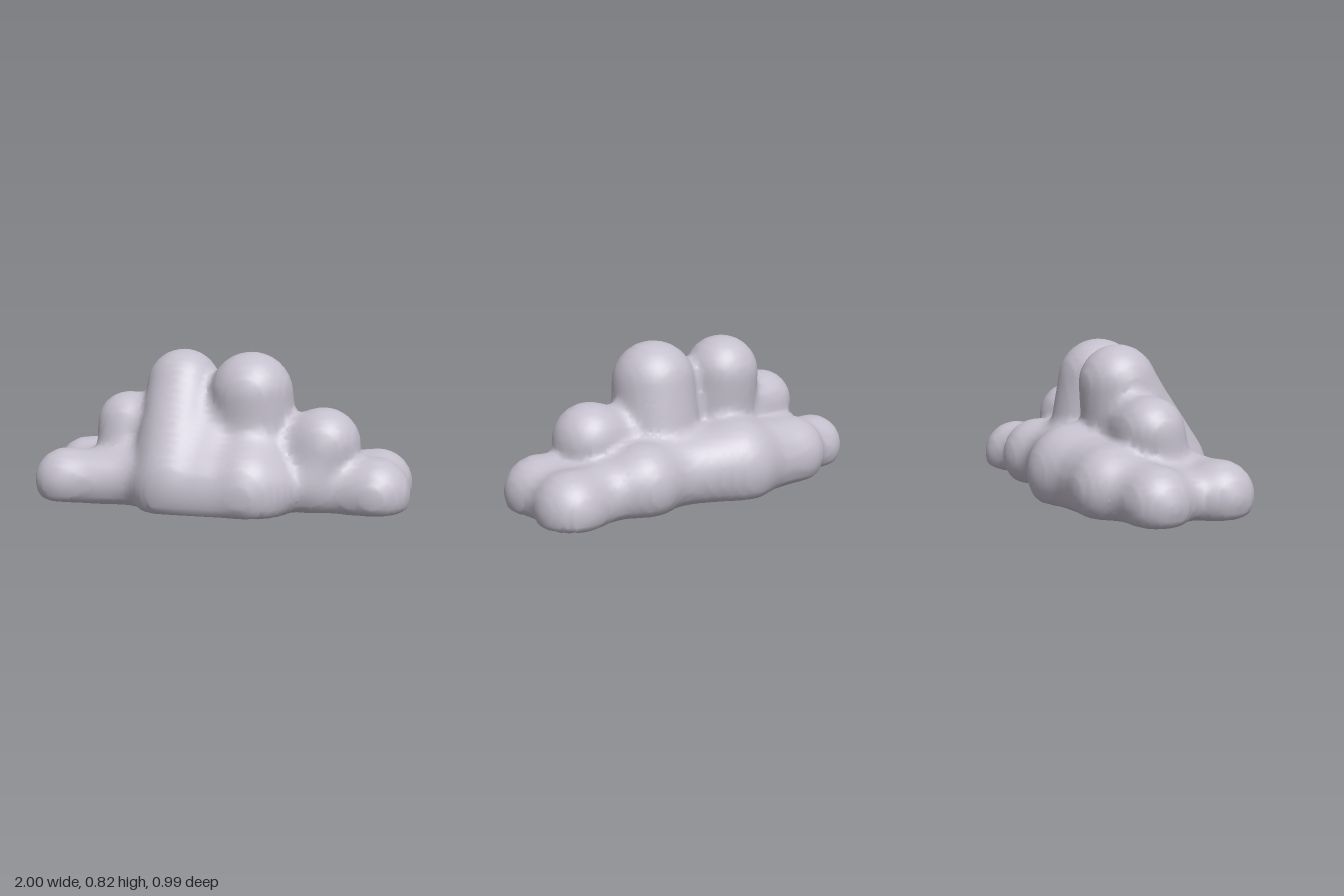
import * as THREE from 'three';

// Puffs of the cloud: tapered capsules [x, y, z, r] to [x, y, z, r]
const towers = [
  [[-0.235, 0.625, -0.04, 0.2], [-0.225, 0.2, 0.01, 0.215]],
  [[0.155, 0.603, 0.053, 0.222], [0.16, 0.34, 0.03, 0.242]],
];
// Broad front slope below the towers
const frontSlope = [
  [[-0.23, 0.5, 0.04, 0.2], [-0.2, 0.175, 0.27, 0.213]],
  [[0.165, 0.3, 0.1, 0.2], [0.17, 0.155, 0.273, 0.218]],
  [[-0.04, 0.46, 0.06, 0.14], [-0.03, 0.17, 0.26, 0.205]],
  [[-0.22, 0.1, 0.275, 0.2], [0.19, 0.1, 0.28, 0.2]],
  [[-0.31, 0.36, 0.1, 0.14], [-0.31, 0.14, 0.25, 0.148]],
  [[0.25, 0.25, 0.15, 0.15], [0.29, 0.14, 0.25, 0.155]],
];
const shoulders = [
  [[-0.545, 0.415, -0.02, 0.163], [-0.53, 0.17, 0.04, 0.19]],
  [[-0.54, 0.415, -0.02, 0.155], [-0.45, 0.42, -0.03, 0.155]],
  [[0.545, 0.35, 0.083, 0.188], [0.48, 0.15, 0.12, 0.19]],
  [[0.545, 0.35, 0.083, 0.175], [0.4, 0.33, 0.06, 0.16]],
];
const leftEnd = [
  [[-0.832, 0.13, 0.2, 0.17], [-0.62, 0.13, 0.17, 0.155]],
  [[-0.62, 0.13, 0.17, 0.155], [-0.45, 0.14, 0.17, 0.168]],
  [[-0.832, 0.13, -0.15, 0.17], [-0.6, 0.15, -0.18, 0.16]],
  [[-0.81, 0.13, 0.2, 0.12], [-0.81, 0.13, -0.15, 0.12]],
];
const rightEnd = [
  [[0.815, 0.115, 0.135, 0.186], [0.6, 0.12, 0.1, 0.165]],
  [[0.815, 0.105, -0.165, 0.184], [0.63, 0.12, -0.13, 0.16]],
  [[0.82, 0.115, 0.13, 0.148], [0.82, 0.115, -0.165, 0.148]],
];
const backPuffs = [
  [[-0.55, 0.16, -0.25, 0.202], [-0.34, 0.16, -0.23, 0.2]],
  [[-0.34, 0.16, -0.23, 0.2], [-0.16, 0.17, -0.25, 0.237]],
  [[-0.16, 0.17, -0.25, 0.237], [0.22, 0.16, -0.15, 0.185]],
  [[0.41, 0.16, -0.195, 0.195], [0.22, 0.16, -0.15, 0.185]],
  [[0.41, 0.16, -0.195, 0.19], [0.63, 0.12, -0.13, 0.15]],
];
const core = [[[-0.7, 0.13, 0, 0.14], [0.7, 0.13, 0, 0.14]]];
const puffs = [...towers, ...frontSlope, ...shoulders, ...leftEnd, ...rightEnd, ...backPuffs, ...core];

// Distance to one tapered capsule
function capsule(p, [a, b]) {
  const d = [0, 1, 2].map((i) => b[i] - a[i]);
  const len = d[0] ** 2 + d[1] ** 2 + d[2] ** 2;
  const dot = d[0] * (p[0] - a[0]) + d[1] * (p[1] - a[1]) + d[2] * (p[2] - a[2]);
  const t = Math.min(1, Math.max(0, dot / len));
  const r = a[3] + (b[3] - a[3]) * t;
  return Math.hypot(p[0] - a[0] - d[0] * t, p[1] - a[1] - d[1] * t, p[2] - a[2] - d[2] * t) - r;
}

// Soft union, and an underside that rises slightly towards the rim
function softMin(a, b, k) {
  const h = Math.max(k - Math.abs(a - b), 0) / k;
  return Math.min(a, b) - h * h * k * 0.25;
}
function field(p) {
  let d = 10;
  for (const puff of puffs) d = softMin(d, capsule(p, puff), 0.05);
  const floor = 0.006 + 0.016 * p[0] ** 2 + 0.06 * p[2] ** 2;
  return -softMin(-d, p[1] - floor, 0.02);
}

// Wrap a surface net around the field
function wrapSurface(min, size, cell) {
  const n = size.map((s) => Math.ceil(s / cell));
  const at = (c) => (c[0] * n[1] + c[1]) * n[2] + c[2];
  const point = (c) => c.map((v, i) => min[i] + v * cell);
  const values = new Float32Array(n[0] * n[1] * n[2]);
  const eachCell = (start, end, fn) => {
    for (let x = start; x < n[0] - end; x++)
      for (let y = start; y < n[1] - end; y++)
        for (let z = start; z < n[2] - end; z++) fn([x, y, z]);
  };
  eachCell(0, 0, (c) => { values[at(c)] = field(point(c)); });

  // One vertex per crossed cell, at the mean of its edge crossings
  const positions = [], indices = [], vertexOf = new Map();
  eachCell(0, 1, (c) => {
    const sum = [0, 0, 0];
    let count = 0;
    for (let k = 0; k < 8; k++) {
      const from = [c[0] + (k & 1), c[1] + ((k >> 1) & 1), c[2] + (k >> 2)];
      for (let axis = 0; axis < 3; axis++) {
        if (k & (1 << axis)) continue;
        const to = from.slice();
        to[axis]++;
        const a = values[at(from)], b = values[at(to)];
        if ((a < 0) === (b < 0)) continue;
        const q = from.slice();
        q[axis] += a / (a - b);
        point(q).forEach((v, i) => { sum[i] += v; });
        count++;
      }
    }
    if (!count) return;
    vertexOf.set(at(c), positions.length / 3);
    positions.push(...sum.map((v) => v / count));
  });

  // One quad around each crossed grid edge
  eachCell(1, 1, (c) => {
    for (let axis = 0; axis < 3; axis++) {
      const to = c.slice();
      to[axis]++;
      const inside = values[at(c)] < 0;
      if (inside === values[at(to)] < 0) continue;
      const q = [[-1, -1], [0, -1], [0, 0], [-1, 0]].map(([u, v]) => {
        const w = c.slice();
        w[(axis + 1) % 3] += u;
        w[(axis + 2) % 3] += v;
        return vertexOf.get(at(w));
      });
      if (!inside) q.reverse();
      indices.push(q[0], q[1], q[2], q[0], q[2], q[3]);
    }
  });

  const geometry = new THREE.BufferGeometry();
  geometry.setAttribute('position', new THREE.Float32BufferAttribute(positions, 3));
  geometry.setIndex(indices);
  geometry.computeVertexNormals();
  return geometry;
}

export function createModel() {
  const group = new THREE.Group();
  group.name = 'cloud';
  const material = new THREE.MeshStandardMaterial({ color: 0xc4bfcc });
  material.name = 'pale lavender grey';

  const body = new THREE.Mesh(wrapSurface([-1.12, -0.1, -0.62], [2.28, 1.06, 1.28], 0.03), material);
  body.name = 'cloudBody';
  group.add(body);
  return group;
}
